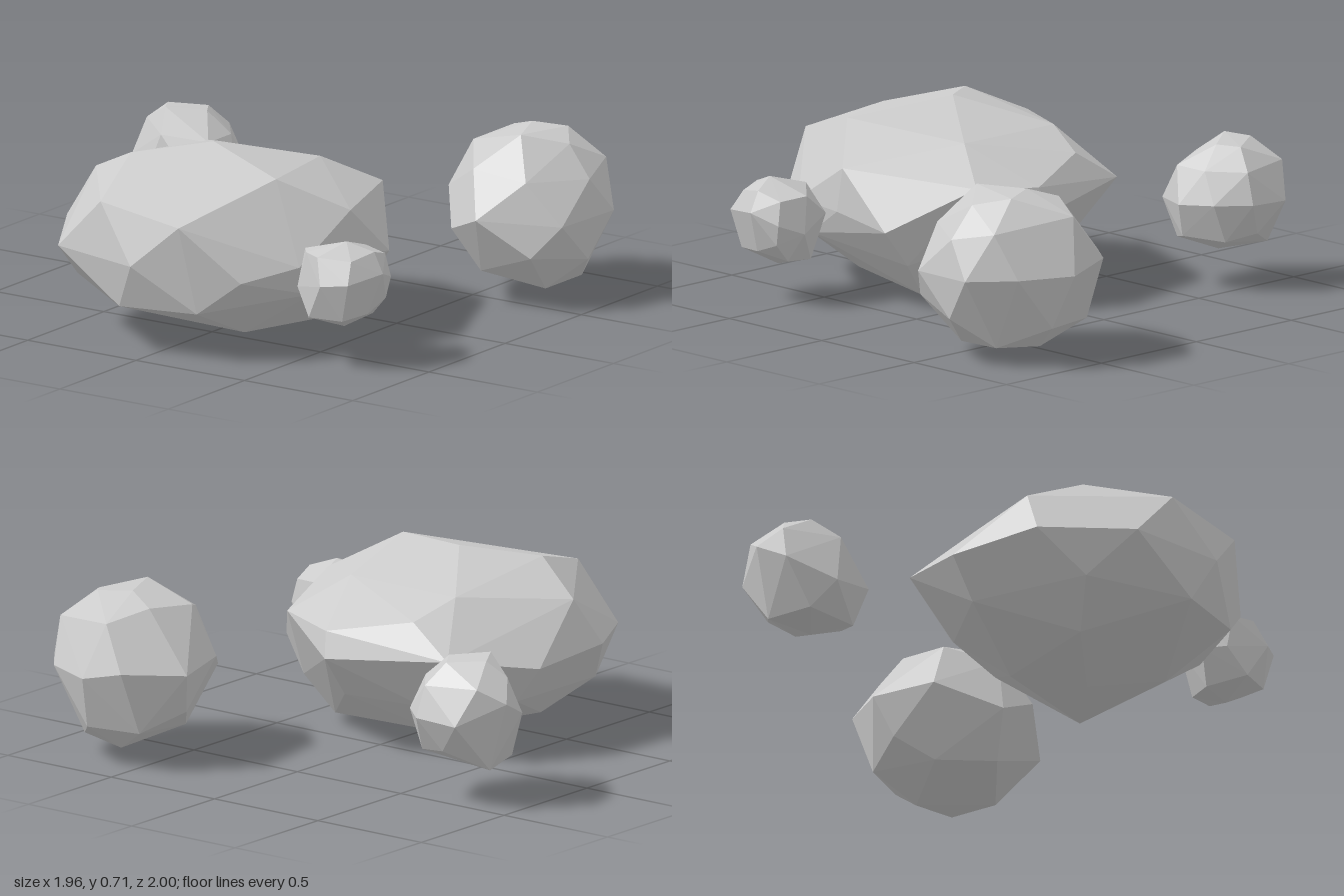
import * as THREE from 'three';
import { ConvexGeometry } from 'three/addons/geometries/ConvexGeometry.js';

const material = new THREE.MeshStandardMaterial({ color: 0xcccccc, flatShading: true });

// Faceted stone wrapped around a few rings of corner points
function rock(name, ...rings) {
  const points = rings.flat().map((p) => new THREE.Vector3(...p));
  const mesh = new THREE.Mesh(new ConvexGeometry(points), material);
  mesh.name = name;
  return mesh;
}

export function createModel() {
  const group = new THREE.Group();
  group.name = 'rocks';

  // Broad flattened boulder: crown, shoulder, waist, lower sides, foot
  group.add(rock('boulder',
    [
      [-0.07, 0.71, 0.39], [-0.32, 0.67, 0.58], [0.33, 0.66, 0.55], [0.19, 0.62, 0.06], [-0.3, 0.61, 0.08],
    ], [
      [-0.55, 0.56, 0.48], [-0.22, 0.57, 0.92], [0.16, 0.53, 0.95], [0.54, 0.53, 0.36],
      [0.08, 0.48, -0.23], [-0.24, 0.54, -0.1], [0.33, 0.5, -0.15],
    ], [
      [0.37, 0.32, 0.84], [0.5, 0.36, 0.64], [0.55, 0.36, 0.38], [0.55, 0.32, 0.12],
      [0.06, 0.38, -0.26], [-0.43, 0.42, -0.13], [-0.62, 0.36, 0.19], [-0.62, 0.38, 0.57],
      [-0.43, 0.36, 0.9], [-0.03, 0.36, 0.995],
    ], [
      [-0.48, 0.2, 0.7], [-0.12, 0.18, 0.94], [0.21, 0.19, 0.9], [0.5, 0.24, 0.57], [0.45, 0.18, 0.1],
      [0.1, 0.2, -0.09], [-0.5, 0.21, 0.2], [-0.25, 0.2, -0.05],
    ], [
      [-0.32, 0.06, 0.57], [0.33, 0.04, 0.14], [-0.15, 0.05, 0.14], [0.22, 0.055, 0.6], [0, 0, 0.39],
    ]));

  // Large round rock behind on the left: top, sides, bottom
  group.add(rock('largeRock',
    [
      [0.62, 0.65, -0.72], [0.7, 0.65, -0.53], [0.75, 0.64, -0.77], [0.5, 0.61, -0.77], [0.58, 0.57, -0.93],
      [0.46, 0.59, -0.56], [0.84, 0.61, -0.65], [0.89, 0.53, -0.82], [0.94, 0.49, -0.64],
      [0.58, 0.53, -0.39], [0.8, 0.5, -0.42],
    ], [
      [0.31, 0.38, -0.78], [0.47, 0.4, -0.98], [0.64, 0.36, -1], [0.85, 0.36, -0.91], [0.975, 0.35, -0.75],
      [0.94, 0.34, -0.46], [0.85, 0.22, -0.38], [0.66, 0.36, -0.29], [0.52, 0.3, -0.33], [0.36, 0.4, -0.54],
    ], [
      [0.94, 0.18, -0.63], [0.8, 0.06, -0.55], [0.62, 0.05, -0.79], [0.82, 0.07, -0.76], [0.46, 0.13, -0.6],
      [0.46, 0.15, -0.88], [0.68, 0.15, -0.92], [0.6, 0.13, -0.41], [0.36, 0.22, -0.72],
    ]));

  // Medium rock behind on the right: top, shoulder, waist, bottom
  group.add(rock('mediumRock',
    [
      [-0.85, 0.56, -0.42], [-0.8, 0.57, -0.33], [-0.67, 0.555, -0.42], [-0.72, 0.55, -0.5],
    ], [
      [-0.92, 0.5, -0.38], [-0.9, 0.48, -0.54], [-0.68, 0.47, -0.58], [-0.58, 0.47, -0.45],
      [-0.58, 0.47, -0.3], [-0.75, 0.49, -0.23],
    ], [
      [-0.98, 0.42, -0.46], [-0.85, 0.34, -0.61], [-0.67, 0.35, -0.62], [-0.56, 0.35, -0.52],
      [-0.51, 0.34, -0.38], [-0.59, 0.33, -0.21], [-0.82, 0.28, -0.2], [-0.96, 0.36, -0.34],
    ], [
      [-0.9, 0.15, -0.46], [-0.71, 0.14, -0.39], [-0.55, 0.21, -0.36], [-0.62, 0.2, -0.52],
      [-0.75, 0.22, -0.56], [-0.87, 0.17, -0.29], [-0.62, 0.18, -0.26],
    ]));

  // Small rock leaning on the boulder: top, waist, bottom
  group.add(rock('smallRock',
    [
      [0.69, 0.485, 0.6], [0.5, 0.43, 0.6], [0.56, 0.44, 0.68], [0.79, 0.45, 0.56],
      [0.64, 0.44, 0.72], [0.66, 0.43, 0.43], [0.76, 0.43, 0.67], [0.77, 0.42, 0.46],
    ], [
      [0.53, 0.34, 0.46], [0.69, 0.29, 0.41], [0.79, 0.33, 0.45], [0.83, 0.37, 0.56],
      [0.78, 0.35, 0.72], [0.68, 0.34, 0.76], [0.52, 0.3, 0.68], [0.47, 0.29, 0.6],
    ], [
      [0.53, 0.16, 0.58], [0.665, 0.145, 0.58], [0.775, 0.21, 0.58], [0.6, 0.17, 0.47],
      [0.74, 0.2, 0.7], [0.6, 0.2, 0.72], [0.72, 0.18, 0.47], [0.78, 0.25, 0.47],
    ]));

  return group;
}
